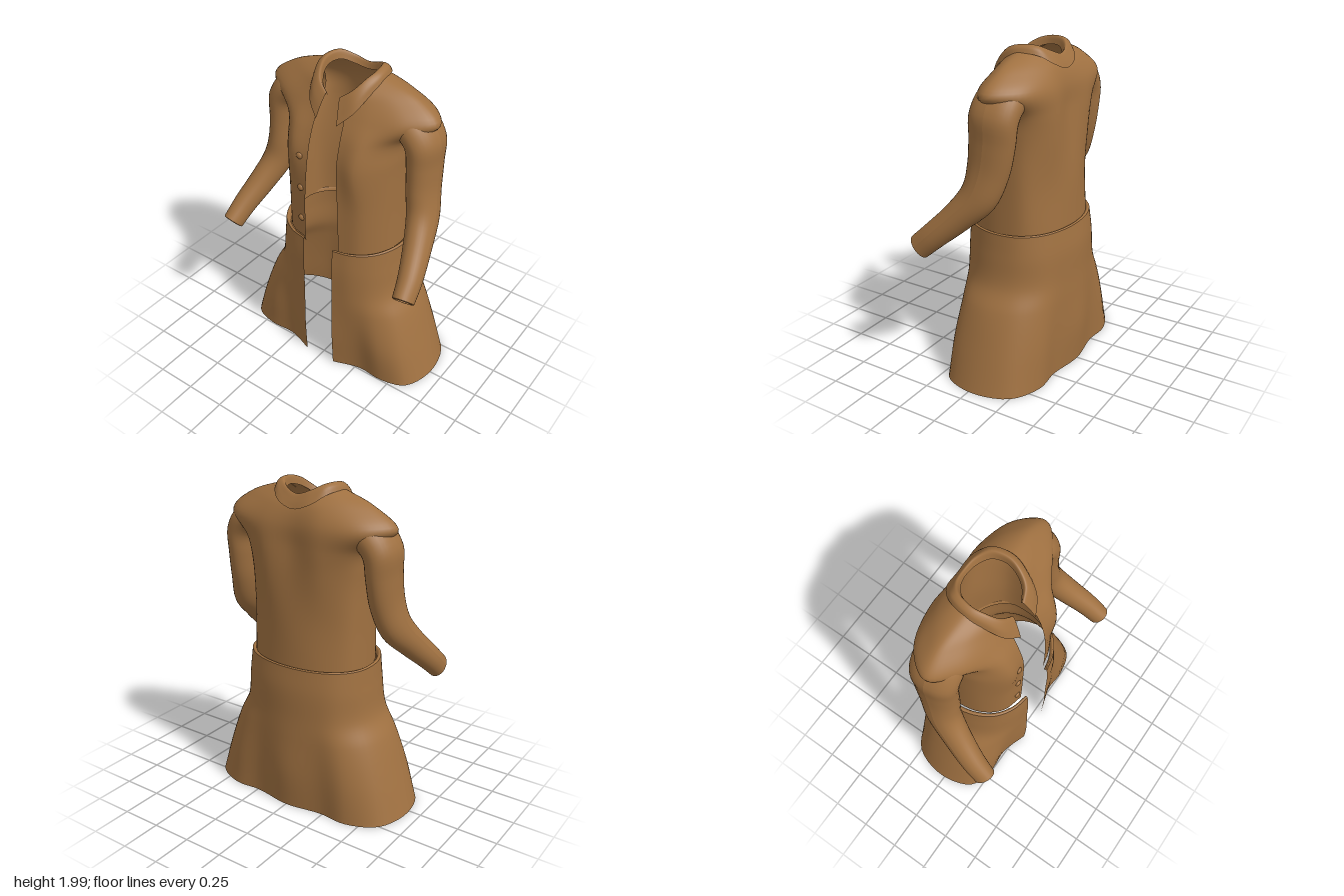
import * as THREE from 'three';

const V = (x, y, z) => new THREE.Vector3(x, y, z);
const cloth = new THREE.MeshStandardMaterial({ color: 0xa07141, side: THREE.DoubleSide });
cloth.name = 'brown cloth';

// Smooth surface through a stack of control rings
function loft(name, rings, nu, nv, flip) {
  const rows = rings.map(r => new THREE.CatmullRomCurve3(r).getPoints(nu));
  const pos = [], idx = [];
  for (let i = 0; i <= nu; i++) {
    const column = new THREE.CatmullRomCurve3(rows.map(r => r[i]));
    column.getPoints(nv).forEach(p => pos.push(p.x, p.y, p.z));
  }
  const w = nv + 1;
  for (let i = 0; i < nu; i++) for (let j = 0; j < nv; j++) {
    const a = i * w + j, b = a + w;
    if (flip) idx.push(a, a + 1, b, b, a + 1, b + 1);
    else idx.push(a, b, a + 1, b, b + 1, a + 1);
  }
  const g = new THREE.BufferGeometry();
  g.setAttribute('position', new THREE.Float32BufferAttribute(pos, 3));
  g.setIndex(idx);
  g.computeVertexNormals();
  const mesh = new THREE.Mesh(g, cloth);
  mesh.name = name;
  return mesh;
}

// Half ring (front opening to centre back) mirrored into a full open ring
const mirror = half => [
  ...half.map(p => V(-p.x, p.y, p.z)),
  ...half.slice(0, -1).reverse()
];
const level = (y, pts) => mirror(pts.map(([x, z]) => V(x, y, z)));
const free = pts => mirror(pts.map(([x, y, z]) => V(x, y, z)));

// Sleeve: oval sections along a bent arm path; s = side
function sleeve(s) {
  const stations = [ // x, y, z, half width, half depth
    [0.30, 1.745, -0.09, 0.115, 0.13],
    [0.41, 1.735, -0.085, 0.11, 0.15],
    [0.478, 1.65, -0.08, 0.102, 0.15],
    [0.488, 1.52, -0.075, 0.092, 0.142],
    [0.50, 1.36, -0.055, 0.09, 0.13],
    [0.532, 1.21, -0.01, 0.088, 0.115],
    [0.575, 1.08, 0.105, 0.08, 0.092],
    [0.62, 0.95, 0.245, 0.07, 0.08],
    [0.638, 0.866, 0.338, 0.062, 0.076]
  ];
  const path = new THREE.CatmullRomCurve3(stations.map(p => V(p[0], p[1], p[2])));
  const ring = (c, t, a, b) => {
    const n = V(0, 0, 1).cross(t).normalize(), m = t.clone().cross(n);
    return Array.from({ length: 17 }, (_, k) => {
      const ang = k / 16 * Math.PI * 2;
      const p = c.clone().addScaledVector(n, a * Math.cos(ang)).addScaledVector(m, b * Math.sin(ang));
      p.x *= s;
      return p;
    });
  };
  const last = stations.length - 1;
  const rings = stations.map((p, i) =>
    ring(V(p[0], p[1], p[2]), path.getTangent(i / last), p[3], p[4]));
  const group = new THREE.Group();
  group.name = s > 0 ? 'leftSleeve' : 'rightSleeve';
  group.add(loft('sleeveCloth', rings, 32, 40, s < 0));
  // Turned-in cuff hem
  const e = stations[last], t = path.getTangent(1), c = V(e[0], e[1], e[2]);
  group.add(loft('cuffHem', [
    ring(c, t, e[3], e[4]),
    ring(c.clone().addScaledVector(t, 0.004), t, e[3] - 0.012, e[4] - 0.012),
    ring(c.clone().addScaledVector(t, -0.06), t, e[3] - 0.014, e[4] - 0.014)
  ], 32, 6, s < 0));
  return group;
}

export function createModel() {
  const coat = new THREE.Group();
  coat.name = 'coat';

  // Bodice, open at the front, with broad shoulders rising to the neck
  coat.add(loft('bodice', [
    level(0.92, [[0.122, 0.25], [0.25, 0.21], [0.34, 0.1], [0.37, -0.05], [0.34, -0.2], [0.21, -0.295], [0, -0.335]]),
    level(1.22, [[0.116, 0.25], [0.25, 0.212], [0.34, 0.095], [0.367, -0.05], [0.34, -0.19], [0.2, -0.285], [0, -0.325]]),
    level(1.5, [[0.1, 0.235], [0.22, 0.24], [0.335, 0.11], [0.375, -0.06], [0.345, -0.2], [0.2, -0.3], [0, -0.3]]),
    level(1.65, [[0.097, 0.195], [0.23, 0.195], [0.345, 0.085], [0.4, -0.07], [0.365, -0.22], [0.2, -0.305], [0, -0.285]]),
    level(1.775, [[0.088, 0.14], [0.24, 0.12], [0.43, 0.055], [0.56, -0.07], [0.45, -0.225], [0.21, -0.295], [0, -0.28]]),
    free([[0.07, 1.83, 0.12], [0.2, 1.86, 0.075], [0.335, 1.885, 0.0], [0.42, 1.89, -0.085],
      [0.34, 1.885, -0.18], [0.17, 1.875, -0.25], [0, 1.86, -0.255]]),
    free([[0.05, 1.87, 0.11], [0.12, 1.91, 0.07], [0.152, 1.95, 0.005], [0.165, 1.975, -0.06],
      [0.135, 1.975, -0.14], [0.08, 1.945, -0.195], [0, 1.92, -0.215]])
  ], 72, 40, true));

  // Folded collar with pointed tips
  coat.add(loft('collar', [
    free([[0.05, 1.85, 0.105], [0.105, 1.89, 0.07], [0.14, 1.93, 0.01], [0.152, 1.95, -0.06],
      [0.128, 1.95, -0.135], [0.075, 1.92, -0.185], [0, 1.9, -0.205]]),
    free([[0.045, 1.875, 0.12], [0.11, 1.925, 0.09], [0.148, 1.975, 0.025], [0.165, 1.998, -0.05],
      [0.142, 1.998, -0.15], [0.08, 1.965, -0.205], [0, 1.94, -0.22]]),
    free([[0.056, 1.82, 0.155], [0.135, 1.88, 0.12], [0.178, 1.945, 0.045], [0.198, 1.985, -0.05],
      [0.17, 1.985, -0.17], [0.1, 1.935, -0.228], [0, 1.905, -0.245]]),
    free([[0.07, 1.735, 0.19], [0.15, 1.815, 0.14], [0.192, 1.895, 0.055], [0.214, 1.955, -0.05],
      [0.185, 1.95, -0.18], [0.11, 1.895, -0.252], [0, 1.86, -0.265]])
  ], 64, 14, false));

  // Flared skirt with soft folds
  const waist = [[0.105, 0.288], [0.22, 0.26], [0.32, 0.19], [0.385, 0.08], [0.408, -0.04],
    [0.385, -0.17], [0.3, -0.27], [0.17, -0.33], [0, -0.352]];
  coat.add(loft('skirt', [
    level(0.01, [[0.105, 0.295], [0.28, 0.24], [0.45, 0.245], [0.605, 0.19], [0.672, -0.02],
      [0.605, -0.25], [0.42, -0.345], [0.24, -0.338], [0, -0.372]]),
    level(0.25, [[0.105, 0.304], [0.27, 0.258], [0.42, 0.25], [0.545, 0.175], [0.597, -0.02],
      [0.55, -0.22], [0.4, -0.335], [0.22, -0.348], [0, -0.388]]),
    level(0.48, [[0.105, 0.3], [0.25, 0.268], [0.38, 0.225], [0.475, 0.14], [0.517, -0.02],
      [0.475, -0.2], [0.355, -0.315], [0.2, -0.35], [0, -0.38]]),
    level(0.62, [[0.105, 0.298], [0.23, 0.27], [0.34, 0.21], [0.415, 0.11], [0.445, -0.03],
      [0.415, -0.18], [0.32, -0.295], [0.18, -0.348], [0, -0.374]]),
    level(0.8, [[0.105, 0.298], [0.225, 0.268], [0.328, 0.198], [0.395, 0.09], [0.42, -0.04],
      [0.395, -0.18], [0.31, -0.285], [0.175, -0.345], [0, -0.37]]),
    level(0.94, waist)
  ], 80, 32, true));

  // Rim of the skirt rolled in towards the bodice
  const rim = (y, k) => level(y, waist.map(([x, z], i) => [i ? x * k : x, z * k]));
  coat.add(loft('waistRim', [
    rim(0.94, 1), rim(0.946, 0.975), rim(0.938, 0.945), rim(0.915, 0.925)
  ], 80, 8, true));

  // Buttons on the right front edge
  for (const y of [1.05, 1.27, 1.49]) {
    const button = new THREE.Mesh(new THREE.SphereGeometry(0.021, 20, 12), cloth);
    button.name = 'button';
    button.scale.z = 0.6;
    button.position.set(-0.155, y, 0.243);
    coat.add(button);
  }

  for (const s of [1, -1]) coat.add(sleeve(s));
  return coat;
}
